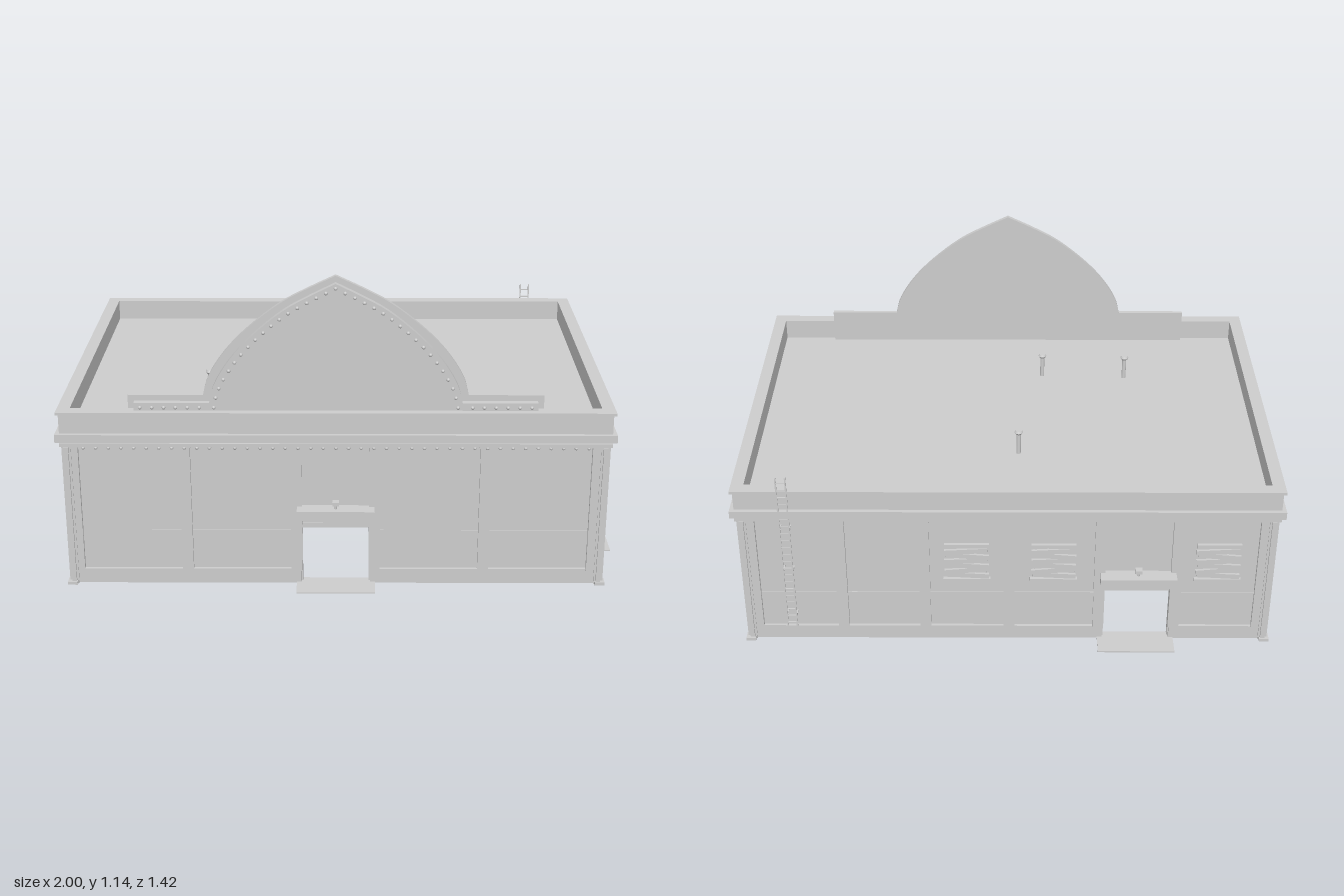
import * as THREE from 'three';

const HX = 0.932, HZ = 0.617, CX = -0.027; // outer wall half sizes and building centre
const stone = new THREE.MeshStandardMaterial({ color: 0xcccccc });
stone.name = 'lightGrey';

function add(parent, name, geo, x = 0, y = 0, z = 0) {
  const m = new THREE.Mesh(geo, stone);
  m.name = name;
  m.position.set(x, y, z);
  parent.add(m);
  return m;
}

// Box given by its limits
function box(parent, name, x0, x1, y0, y1, z0, z1) {
  return add(parent, name, new THREE.BoxGeometry(x1 - x0, y1 - y0, z1 - z0),
    (x0 + x1) / 2, (y0 + y1) / 2, (z0 + z1) / 2);
}

// Rectangular band running around the building
function ring(parent, name, ox, oz, ix, iz, y0, y1) {
  const rect = (S, a, b) => {
    const s = new S();
    s.moveTo(-a, -b); s.lineTo(a, -b); s.lineTo(a, b); s.lineTo(-a, b); s.closePath();
    return s;
  };
  const shape = rect(THREE.Shape, ox, oz);
  shape.holes.push(rect(THREE.Path, ix, iz));
  const g = new THREE.ExtrudeGeometry(shape, { depth: y1 - y0, bevelEnabled: false });
  g.rotateX(-Math.PI / 2);
  add(parent, name, g, 0, y0, 0);
}

// Boarded window: top rail, sill and crooked planks
function boardedWindow(parent, u) {
  const w = new THREE.Group();
  w.name = 'boardedWindow';
  w.position.set(u, 0.345, 0);
  parent.add(w);
  box(w, 'windowBacking', -0.07, 0.07, -0.075, 0.075, 0, 0.003);
  box(w, 'windowHead', -0.08, 0.08, 0.063, 0.078, 0, 0.012);
  box(w, 'windowSill', -0.085, 0.085, -0.08, -0.07, 0, 0.016);
  [0.06, -0.09, 0.05, -0.07, 0.1, -0.06].forEach((tilt, i) => {
    const p = box(w, 'plank', -0.077, 0.077, -0.0095, 0.0095, 0, 0.01);
    p.position.set((i % 2 ? 1 : -1) * 0.003, 0.048 - i * 0.021, 0.007);
    p.rotation.z = tilt;
  });
}

// Door surround: awning, rolled shutter, lamp and step plate
function doorway(parent, u) {
  const d = new THREE.Group();
  d.name = 'doorway';
  d.position.x = u;
  parent.add(d);
  box(d, 'awning', -0.137, 0.137, 0.267, 0.302, -0.01, 0.057);
  for (let i = 0; i < 4; i++)
    box(d, 'shutterSlat', -0.118, 0.118, 0.217 + i * 0.0125, 0.227 + i * 0.0125, -0.012, 0.006 + i * 0.004);
  box(d, 'shutterPanel', -0.118, 0.118, 0.217, 0.267, -0.015, 0.003);
  add(d, 'lampStem', new THREE.CylinderGeometry(0.004, 0.004, 0.02, 8), 0, 0.312, 0.03);
  box(d, 'lamp', -0.012, 0.012, 0.318, 0.332, 0.02, 0.044);
  box(d, 'stepPlate', -0.14, 0.14, 0, 0.005, -0.02, 0.093);
}

// One side of the building, drawn along u with the outside facing +z
function side(parent, name, x, z, turn, half, pillars, windows, door) {
  const s = new THREE.Group();
  s.name = name;
  s.position.set(x, 0, z);
  s.rotation.y = turn;
  parent.add(s);
  const D = 0.118, top = 0.56;
  const wall = new THREE.Shape();
  wall.moveTo(-half, 0);
  if (door !== undefined) {
    wall.lineTo(door - D, 0); wall.lineTo(door - D, 0.267);
    wall.lineTo(door + D, 0.267); wall.lineTo(door + D, 0);
  }
  wall.lineTo(half, 0); wall.lineTo(half, top); wall.lineTo(-half, top);
  wall.closePath();
  add(s, 'wall', new THREE.ExtrudeGeometry(wall, { depth: 0.02, bevelEnabled: false }), 0, 0, -0.02);
  // Baseboard and thin rail stop at the doorway
  const runs = door === undefined ? [[-half, half]] : [[-half, door - D - 0.005], [door + D + 0.005, half]];
  for (const [a, b] of runs) {
    box(s, 'baseboard', a, b, 0, 0.056, 0, 0.011);
    box(s, 'rail', a, b, 0.173, 0.206, 0, 0.003);
  }
  for (const u of pillars) {
    box(s, 'pillar', u - 0.02, u + 0.02, 0.05, 0.54, 0, 0.013);
    box(s, 'capital', u - 0.025, u + 0.025, 0.53, 0.546, 0, 0.019);
  }
  windows.forEach(u => boardedWindow(s, u));
  if (door !== undefined) doorway(s, door);
  return s;
}

// Pointed arch, right half from shoulder to peak; inset shrinks it
const ARCH = [[0.459, 0.716], [0.445, 0.77], [0.413, 0.83], [0.36, 0.9], [0.283, 0.975],
  [0.183, 1.052], [0.098, 1.098], [0, 1.145]];
function archCurve(inset) {
  return new THREE.CatmullRomCurve3(ARCH.map(([w, y]) => new THREE.Vector3(w * (1 - inset / 0.46), y - inset, 0)));
}
function signBoard(parent, name, inset, z0, z1) {
  const half = archCurve(inset).getPoints(24);
  const end = 0.72 - inset, shoulder = 0.716 - inset;
  const pts = [[-end, 0.59], [end, 0.59], [end, shoulder],
    ...half.map(p => [p.x, p.y]), ...half.slice(0, -1).reverse().map(p => [-p.x, p.y]), [-end, shoulder]];
  const shape = new THREE.Shape(pts.map(p => new THREE.Vector2(...p)));
  add(parent, name, new THREE.ExtrudeGeometry(shape, { depth: z1 - z0, bevelEnabled: false }), 0, 0, z0);
}

export function createModel() {
  const model = new THREE.Group();
  model.name = 'building';
  const b = new THREE.Group();
  b.name = 'hall';
  b.position.set(CX, 0, -0.002);
  model.add(b);

  // Four sides
  side(b, 'frontSide', 0, HZ, 0, HX, [-0.92, -0.53, -0.14, 0.136, 0.525, 0.915], [], -0.001);
  side(b, 'doorSide', HX, 0, Math.PI / 2, HZ, [-0.61, -0.377, -0.098, 0.251, 0.605], [0.427], -0.237);
  side(b, 'backSide', 0, -HZ, Math.PI, HX, [-0.915, -0.6, -0.3, 0.005, 0.332, 0.608, 0.915],
    [-0.147, 0.165, 0.755], 0.47);
  side(b, 'plainSide', -HX, 0, -Math.PI / 2, HZ, [-0.605, -0.29, 0, 0.3, 0.605], [-0.44]);

  // Corner posts made of paired strips
  for (const sx of [-1, 1]) for (const sz of [-1, 1]) {
    add(b, 'cornerPost', new THREE.BoxGeometry(0.025, 0.53, 0.025), sx * 0.936, 0.265, sz * 0.621);
    add(b, 'cornerStrip', new THREE.BoxGeometry(0.008, 0.53, 0.016), sx * 0.952, 0.265, sz * 0.624);
    add(b, 'cornerStrip', new THREE.BoxGeometry(0.016, 0.53, 0.008), sx * 0.939, 0.265, sz * 0.637);
    add(b, 'cornerFoot', new THREE.BoxGeometry(0.035, 0.012, 0.035), sx * 0.945, 0.006, sz * 0.63);
  }

  // Roof, parapet and cornices
  box(b, 'roof', -0.94, 0.94, 0.555, 0.59, -0.625, 0.625);
  ring(b, 'lowerTrim', 0.96, 0.647, 0.92, 0.605, 0.537, 0.55);
  ring(b, 'frieze', 0.95, 0.636, 0.92, 0.605, 0.545, 0.56);
  ring(b, 'cornice', 0.973, 0.66, 0.922, 0.607, 0.558, 0.587);
  ring(b, 'parapet', 0.958, 0.645, 0.922, 0.607, 0.58, 0.66);
  ring(b, 'parapetCap', 0.967, 0.654, 0.922, 0.607, 0.657, 0.667);

  // Inner partitions
  box(b, 'partition', 0.46, 0.475, 0, 0.555, 0.14, 0.6);
  box(b, 'partition', 0.03, 0.66, 0, 0.555, -0.115, -0.1);
  box(b, 'partition', -0.48, -0.465, 0, 0.555, -0.29, 0.39);

  // Pointed sign board with a raised front panel
  signBoard(b, 'signBack', 0, 0.589, 0.606);
  signBoard(b, 'signPanel', 0.022, 0.606, 0.628);

  // Bolts along the sign edge and below the front cornice
  const bolt = new THREE.SphereGeometry(0.0065, 8, 6);
  for (const p of archCurve(0.038).getSpacedPoints(17))
    for (const s of p.x > 0.001 ? [-1, 1] : [1]) add(b, 'signBolt', bolt, s * p.x, p.y, 0.63);
  for (let i = 1; i <= 6; i++)
    for (const s of [-1, 1]) add(b, 'signBolt', bolt, s * (0.43 + i * 0.041), 0.678, 0.63);
  for (let i = 0; i <= 40; i++) add(b, 'corniceBolt', bolt, -0.88 + i * 0.044, 0.528, 0.632);

  // Roof vents
  for (const [x, z] of [[-0.463, 0.277], [-0.138, 0.292], [-0.04, -0.281]]) {
    add(b, 'ventPipe', new THREE.CylinderGeometry(0.008, 0.008, 0.085, 12), x, 0.63, z);
    add(b, 'ventCap', new THREE.CylinderGeometry(0.012, 0.016, 0.008, 12), x, 0.684, z);
    add(b, 'ventCap', new THREE.CylinderGeometry(0.016, 0.01, 0.008, 12), x, 0.676, z);
  }

  // Ladder on the back
  const ladder = new THREE.Group();
  ladder.name = 'ladder';
  ladder.position.set(0.785, 0, -0.657);
  b.add(ladder);
  for (const s of [-1, 1])
    add(ladder, 'ladderRail', new THREE.BoxGeometry(0.005, 0.65, 0.005), s * 0.017, 0.403, 0);
  for (let i = 0; i < 21; i++)
    add(ladder, 'rung', new THREE.BoxGeometry(0.034, 0.004, 0.004), 0, 0.095 + i * 0.0305, 0);
  for (const y of [0.12, 0.32, 0.5])
    for (const s of [-1, 1]) box(ladder, 'ladderBracket', s * 0.017 - 0.002, s * 0.017 + 0.002, y, y + 0.004, 0, 0.04);

  return model;
}
